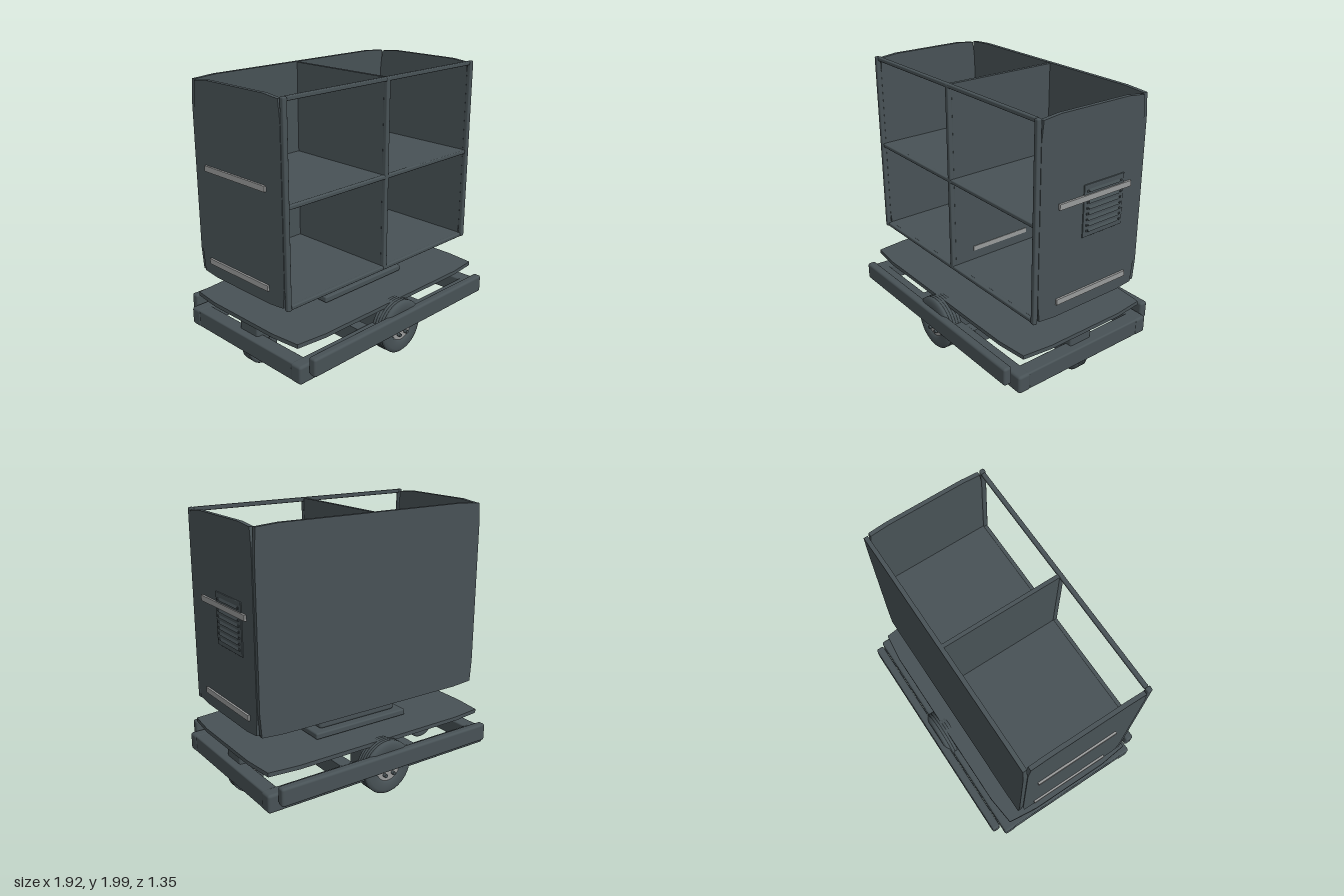
import * as THREE from 'three';
import { RoundedBoxGeometry } from 'three/addons/geometries/RoundedBoxGeometry.js';

export function createModel() {
  const model = new THREE.Group();
  model.name = 'shelfCart';

  const slate = new THREE.MeshStandardMaterial({ color: 0x485256 });
  slate.name = 'slate';
  const lightGrey = new THREE.MeshStandardMaterial({ color: 0x999b9b });
  lightGrey.name = 'light grey';

  function group(name) {
    const g = new THREE.Group();
    g.name = name;
    model.add(g);
    return g;
  }

  function add(parent, name, geometry, material = slate, x = 0, y = 0, z = 0) {
    const mesh = new THREE.Mesh(geometry, material);
    mesh.name = name;
    mesh.position.set(x, y, z);
    parent.add(mesh);
    return mesh;
  }

  // box given by its limits, with optional softened edges
  function block(parent, name, [x0, x1], [y0, y1], [z0, z1], radius = 0, material = slate) {
    const size = [x1 - x0, y1 - y0, z1 - z0];
    const geometry = radius ? new RoundedBoxGeometry(...size, 2, radius) : new THREE.BoxGeometry(...size);
    return add(parent, name, geometry, material, (x0 + x1) / 2, (y0 + y1) / 2, (z0 + z1) / 2);
  }

  // upright panel whose four edges taper slightly towards the corners
  function panel(w, h, depth, run, drop) {
    const a = w / 2, b = h / 2;
    const s = new THREE.Shape([
      [-a + drop, -b + drop], [-a + run, -b], [a - run, -b], [a - drop, -b + drop],
      [a, -b + run], [a, b - run], [a - drop, b - drop], [a - run, b],
      [-a + run, b], [-a + drop, b - drop], [-a, b - run], [-a, -b + run],
    ].map(([x, y]) => new THREE.Vector2(x, y)));
    return new THREE.ExtrudeGeometry(s, { depth, bevelEnabled: false }).translate(0, 0, -depth / 2);
  }

  // ---- cabinet ----
  const cabinet = group('cabinet');
  for (const s of [-1, 1]) {
    const side = add(cabinet, 'sidePanel', panel(0.87, 1.395, 0.03, 0.15, 0.015), slate, s * 0.92, 1.3025, 0);
    side.rotation.y = Math.PI / 2;
    block(cabinet, 'frontPost', [s * 0.915 - 0.018, s * 0.915 + 0.018], [0.605, 2], [0.43, 0.466], 0.01);
  }
  add(cabinet, 'backPanel', panel(1.86, 1.395, 0.03, 0.18, 0.012), slate, 0, 1.3025, -0.45);
  block(cabinet, 'divider', [-0.014, 0.014], [0.62, 1.995], [-0.436, 0.43]);
  block(cabinet, 'centrePost', [-0.018, 0.018], [0.607, 1.995], [0.425, 0.46], 0.008);
  for (const y of [0.62, 1.305]) {
    block(cabinet, 'shelf', [-0.906, 0.906], [y - 0.012, y + 0.012], [-0.436, 0.43]);
  }
  for (const y of [0.62, 1.305, 1.985]) {
    block(cabinet, 'frontBar', [-0.9, 0.9], [y - 0.015, y + 0.015], [0.428, 0.458], 0.008);
  }

  // rails on the outer sides and on the divider
  for (const s of [-1, 1]) {
    for (const y of [0.72, 1.4]) {
      block(cabinet, 'sideRail', [s * 0.94 - 0.01, s * 0.94 + 0.01], [y - 0.02, y + 0.02], [-0.34, 0.285], 0, lightGrey);
    }
  }
  block(cabinet, 'innerRail', [0.012, 0.018], [0.702, 0.738], [-0.23, 0.27], 0, lightGrey);

  // louvred vent on the left side
  const vent = group('vent');
  block(vent, 'ventPlate', [0.93, 0.942], [1.12, 1.49], [-0.28, 0.075], 0.005);
  for (let i = 0; i < 8; i++) {
    const y = 1.165 + i * 0.04;
    if (Math.abs(y - 1.4) > 0.022) {
      const slat = block(vent, 'slat', [0.937, 0.945], [y - 0.011, y + 0.011], [-0.235, 0.03]);
      slat.rotation.z = 0.3;
    }
    for (const z of [0.045, -0.25]) {
      block(vent, 'rivet', [0.94, 0.949], [y - 0.006, y + 0.006], [z - 0.006, z + 0.006]);
    }
  }

  // ---- turntable and deck ----
  const turntable = group('turntable');
  block(turntable, 'turntableTop', [-0.335, 0.335], [0.45, 0.575], [-0.26, 0.207], 0.02);
  block(turntable, 'turntableBase', [-0.4, 0.4], [0.405, 0.453], [-0.315, 0.26], 0.012);
  const deck = add(model, 'deck', panel(1.9, 1.13, 0.03, 0.25, 0.025), slate, 0, 0.387, 0);
  deck.rotation.x = -Math.PI / 2;

  // ---- chassis ----
  const chassis = group('chassis');
  for (const s of [-1, 1]) {
    block(chassis, 'longRail', [-0.96, 0.96], [0.135, 0.27], [s * 0.55 - 0.05, s * 0.55 + 0.05], 0.02);
    block(chassis, 'endRail', [s * 0.9 - 0.055, s * 0.9 + 0.055], [0.137, 0.268], [-0.54, 0.54], 0.012);
    block(chassis, 'crossBeam', [s * 0.28 - 0.05, s * 0.28 + 0.05], [0.14, 0.265], [-0.53, 0.53]);
    block(chassis, 'bumper', [-0.9, 0.9], [0.2, 0.335], [s * 0.645 - 0.032, s * 0.645 + 0.032], 0.018);
    block(chassis, 'motorBox', [-0.11, 0.11], [0.1, 0.32], [s * 0.405 - 0.105, s * 0.405 + 0.105], 0.025);
    block(chassis, 'casterMount', [s * 0.805 - 0.095, s * 0.805 + 0.095], [0.22, 0.376], [-0.095, 0.095], 0.015);
  }

  // wheel rolling along x, with a grooved tread, pale hub and bolts
  function wheel(name, r, half, hub, x, y, z, turn) {
    const w = group(name);
    w.position.set(x, y, z);
    w.rotation.y = turn;
    const points = [[hub, -half * 0.75], [hub * 1.15, -half], [r * 0.86, -half], [r * 0.96, -half * 0.85]];
    for (let i = 0; i < 5; i++) {
      const c = half * (-0.64 + 0.32 * i);
      points.push([r, c - half * 0.1], [r, c + half * 0.1]);
      if (i < 4) points.push([r * 0.97, c + half * 0.13], [r * 0.97, c + half * 0.19]);
    }
    points.push([r * 0.96, half * 0.85], [r * 0.86, half], [hub * 1.15, half], [hub, half * 0.75]);
    const tyre = new THREE.LatheGeometry(points.map(p => new THREE.Vector2(...p)), 40).rotateX(Math.PI / 2);
    add(w, 'tyre', tyre);
    const disc = len => new THREE.CylinderGeometry(hub * 1.02, hub * 1.02, len, 32).rotateX(Math.PI / 2);
    add(w, 'hub', disc(half * 1.6), lightGrey);
    const bolt = new THREE.CylinderGeometry(hub * 0.13, hub * 0.13, half * 0.5, 10).rotateX(Math.PI / 2);
    for (let i = 0; i < 5; i++) {
      const a = Math.PI / 2 + (i * Math.PI * 2) / 5;
      add(w, 'bolt', bolt, slate, Math.cos(a) * hub * 0.62, Math.sin(a) * hub * 0.62, half * 0.95);
    }
    const axle = new THREE.CylinderGeometry(hub * 0.25, hub * 0.25, half * 1.9, 16).rotateX(Math.PI / 2);
    add(w, 'axle', axle);
  }
  for (const s of [-1, 1]) {
    wheel('driveWheel', 0.2, 0.068, 0.1, 0, 0.21, s * 0.573, s > 0 ? 0 : Math.PI);
    wheel('caster', 0.125, 0.055, 0.06, s * 0.805, 0.137, 0, 0);
    // fork cheeks holding the caster
    for (const t of [-1, 1]) {
      block(chassis, 'casterFork', [s * 0.805 - 0.03, s * 0.805 + 0.03], [0.13, 0.25], [t * 0.064 - 0.007, t * 0.064 + 0.007]);
    }
  }

  // rest the tyres on the ground
  model.children.forEach(c => { c.position.y -= 0.005; });
  return model;
}
